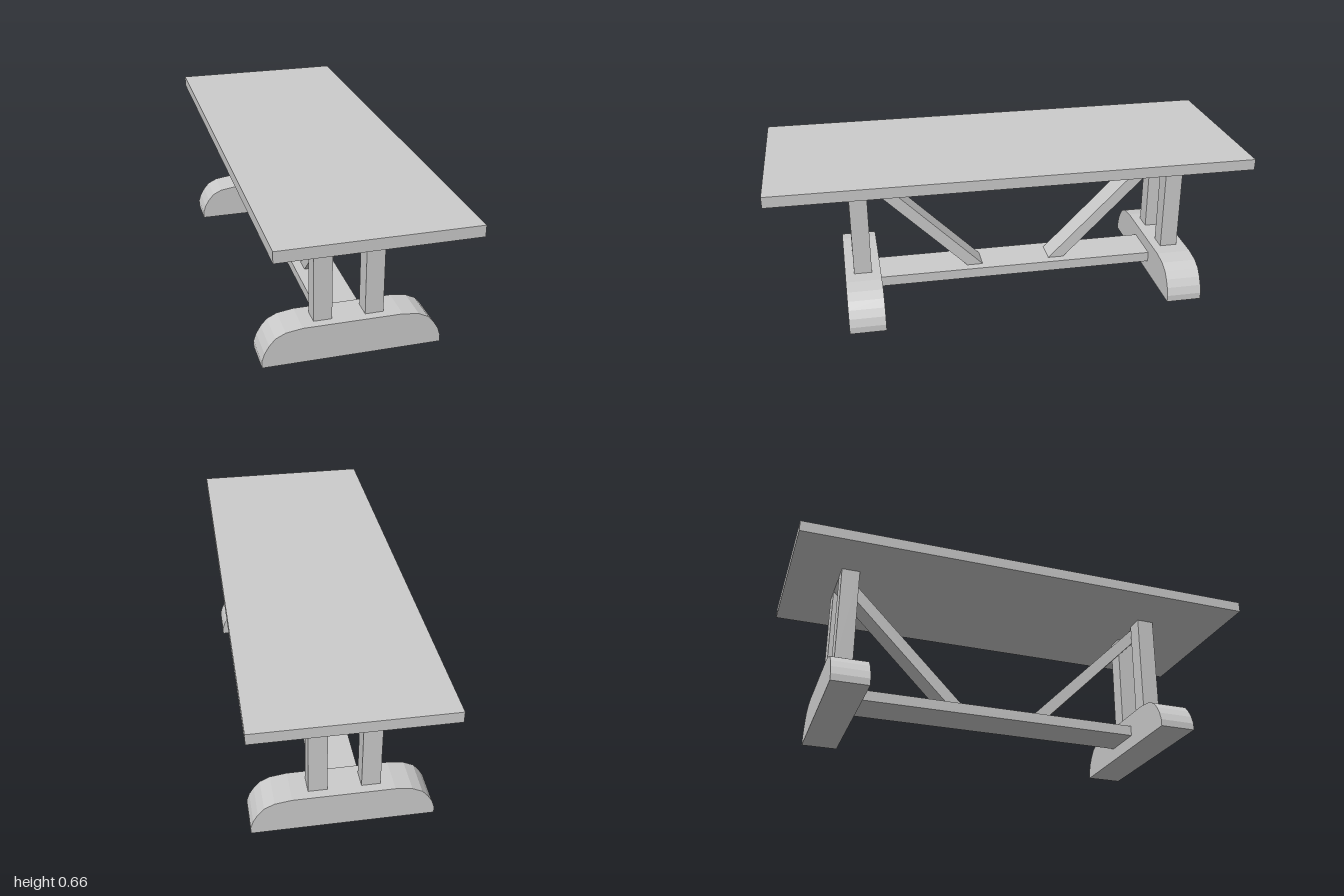
import * as THREE from 'three';

const material = new THREE.MeshStandardMaterial({ color: 0xcccccc, flatShading: true });

function addMesh(parent, name, geometry) {
  const mesh = new THREE.Mesh(geometry, material);
  mesh.name = name;
  parent.add(mesh);
  return mesh;
}

// Box given by its limits on each axis
function addBox(parent, name, [x0, x1], [y0, y1], [z0, z1]) {
  const mesh = addMesh(parent, name, new THREE.BoxGeometry(x1 - x0, y1 - y0, z1 - z0));
  mesh.position.set((x0 + x1) / 2, (y0 + y1) / 2, (z0 + z1) / 2);
}

// Prism from a 2D outline, centred on its depth
function prism(points, depth) {
  const shape = new THREE.Shape(points.map(([x, y]) => new THREE.Vector2(x, y)));
  return new THREE.ExtrudeGeometry(shape, { depth, bevelEnabled: false }).translate(0, 0, -depth / 2);
}

export function createModel() {
  const table = new THREE.Group();
  table.name = 'trestleTable';

  const topUnder = 0.614, footTop = 0.154, stretcherTop = 0.1;

  // Table top
  addBox(table, 'tableTop', [-0.383, 0.383], [topUnder, 0.66], [-1, 1]);

  // Right half of the rounded foot outline, mirrored for the left
  const half = [[0.368, 0], [0.368, 0.029], [0.357, 0.063], [0.338, 0.095],
    [0.313, 0.124], [0.272, 0.144], [0.204, footTop]];
  const footOutline = [...half, ...half.map(([x, y]) => [-x, y]).reverse()];

  const trestles = [
    { name: 'front', z: 0.634, foot: [0.096, 0.166], head: [0.612, 0.682] },
    { name: 'back', z: -0.751, foot: [-0.209, -0.279], head: [-0.719, -0.789] },
  ];

  for (const { name, z, foot, head } of trestles) {
    const trestle = new THREE.Group();
    trestle.name = name + 'Trestle';
    table.add(trestle);

    // Foot and its pair of posts
    addMesh(trestle, name + 'Foot', prism(footOutline, 0.153)).position.z = z;
    const depth = [z - 0.038, z + 0.038];
    addBox(trestle, name + 'RightPost', [-0.152, -0.076], [footTop, topUnder], depth);
    addBox(trestle, name + 'LeftPost', [0.06, 0.136], [footTop, topUnder], depth);

    // Diagonal brace from the stretcher up between the posts
    const outline = [[foot[0], stretcherTop], [foot[1], stretcherTop],
      [head[1], topUnder], [head[0], topUnder]];
    const brace = prism(outline, 0.106);
    brace.rotateY(-Math.PI / 2);
    addMesh(trestle, name + 'Brace', brace);
  }

  // Low stretcher plank joining the feet
  addBox(table, 'stretcher', [-0.092, 0.092], [0.055, stretcherTop], [-0.69, 0.57]);

  return table;
}
